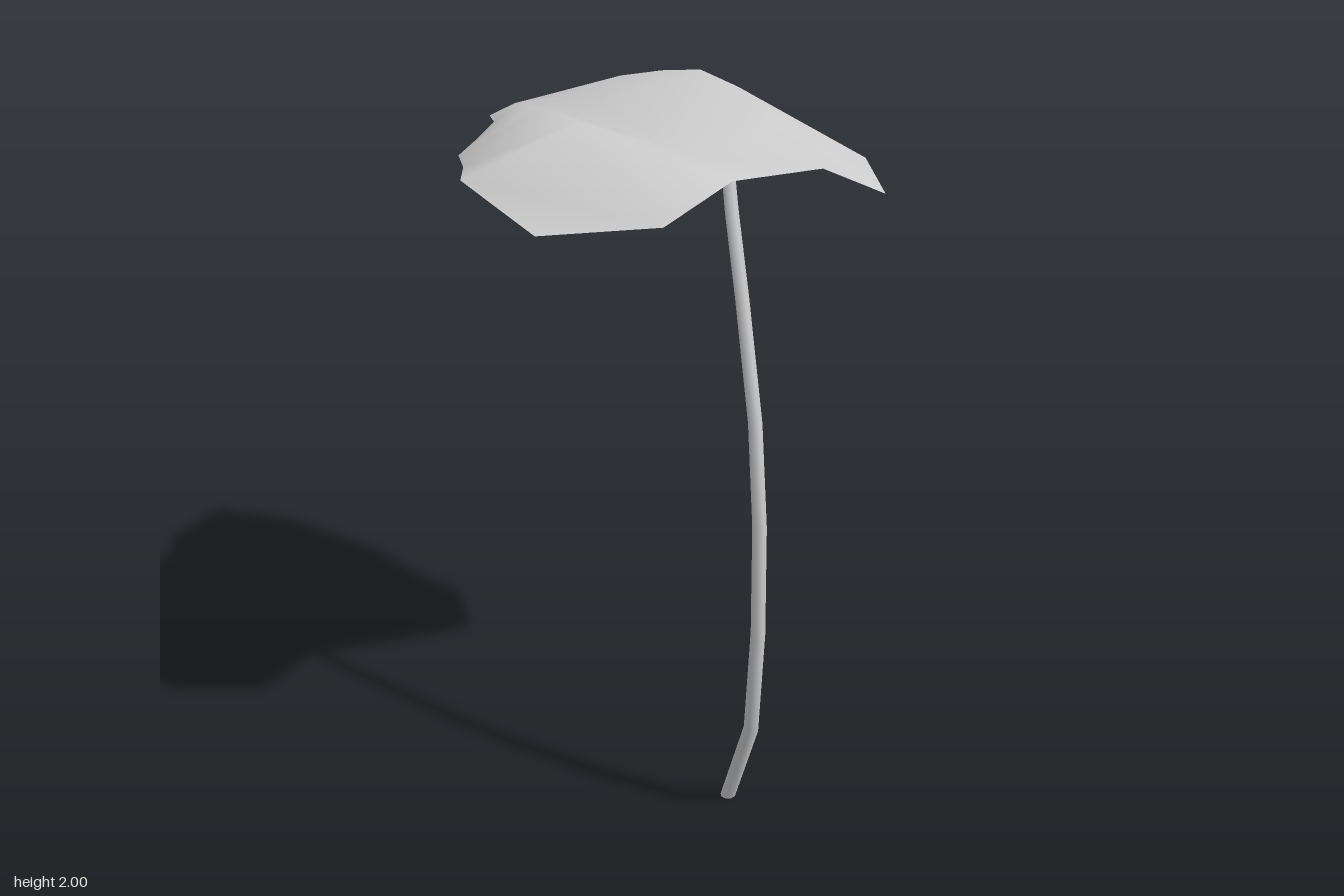
import * as THREE from 'three';

const grey = () => new THREE.MeshStandardMaterial({ color: 0xcccccc, side: THREE.DoubleSide });

// Joins equally long rows of points into one smooth surface.
function loft(name, rows) {
  const cols = rows[0].length;
  const index = [];
  for (let i = 0; i < rows.length - 1; i++) {
    for (let j = 0; j < cols - 1; j++) {
      const a = i * cols + j, b = a + 1, c = a + cols, d = c + 1;
      index.push(a, b, c, b, d, c);
    }
  }
  const geometry = new THREE.BufferGeometry();
  geometry.setAttribute('position', new THREE.Float32BufferAttribute(rows.flat(2), 3));
  geometry.setIndex(index);
  geometry.computeVertexNormals();
  const mesh = new THREE.Mesh(geometry, grey());
  mesh.name = name;
  return mesh;
}

// Leaf: cross-sections from notch to tip, each edge, ridge, midrib, ridge, edge.
function createLeaf() {
  const tip = [-0.05, 1.76, -0.78];
  return loft('leafBlade', [
    [[-0.51, 1.76, 0.505], [-0.22, 1.79, 0.66], [0.03, 1.855, 0.55], [0.28, 1.87, 0.585], [0.52, 1.755, 0.515]],
    [[-0.6, 1.84, 0.2], [-0.31, 2, 0.33], [0.03, 1.865, 0.33], [0.28, 1.945, 0.37], [0.595, 1.79, 0.275]],
    [[-0.535, 1.83, 0.04], [-0.31, 1.985, 0.1], [0.02, 1.88, 0.1], [0.27, 1.99, 0.1], [0.515, 1.82, 0.1]],
    [[-0.445, 1.78, -0.26], [-0.27, 1.93, -0.14], [0.01, 1.885, -0.12], [0.25, 2, -0.1], [0.46, 1.845, -0.12]],
    [[-0.36, 1.8, -0.34], [-0.22, 1.9, -0.3], [0, 1.885, -0.3], [0.22, 1.96, -0.3], [0.345, 1.85, -0.33]],
    [[-0.26, 1.815, -0.46], [-0.17, 1.87, -0.45], [-0.01, 1.87, -0.47], [0.15, 1.92, -0.45], [0.25, 1.85, -0.5]],
    [[-0.23, 1.805, -0.58], [-0.14, 1.83, -0.6], [-0.03, 1.84, -0.62], [0.08, 1.855, -0.61], [0.16, 1.845, -0.6]],
    Array(5).fill(tip),
  ]);
}

// Stem: rings tilted to follow a bent path of [z, y] points, flat at the foot.
function createStem() {
  const x = 0.03, sides = 8;
  const path = [[0.595, 0], [0.73, 0.3], [0.757, 0.62], [0.75, 0.94], [0.71, 1.23], [0.62, 1.55], [0.55, 1.77], [0.53, 1.85]];
  const rings = path.map(([z, y], i) => {
    const before = path[Math.max(i - 1, 0)], after = path[Math.min(i + 1, path.length - 1)];
    const tilt = i === 0 ? 0 : Math.atan2(after[0] - before[0], after[1] - before[1]);
    const radius = 0.022 - 0.003 * i / (path.length - 1);
    return Array.from({ length: sides + 1 }, (_, k) => {
      const a = -k / sides * Math.PI * 2;
      const side = Math.cos(a) * radius, depth = Math.sin(a) * radius;
      return [x + side, y - depth * Math.sin(tilt), z + depth * Math.cos(tilt)];
    });
  });
  const group = new THREE.Group();
  group.name = 'stem';
  group.add(loft('stemShaft', rings));
  // Flat foot closing the lower end
  const foot = new THREE.Mesh(new THREE.CircleGeometry(0.022, sides), grey());
  foot.name = 'stemFoot';
  foot.rotation.x = Math.PI / 2;
  foot.position.set(x, 0, path[0][0]);
  group.add(foot);
  return group;
}

export function createModel() {
  const model = new THREE.Group();
  model.name = 'leafOnStem';
  model.add(createLeaf(), createStem());
  return model;
}
